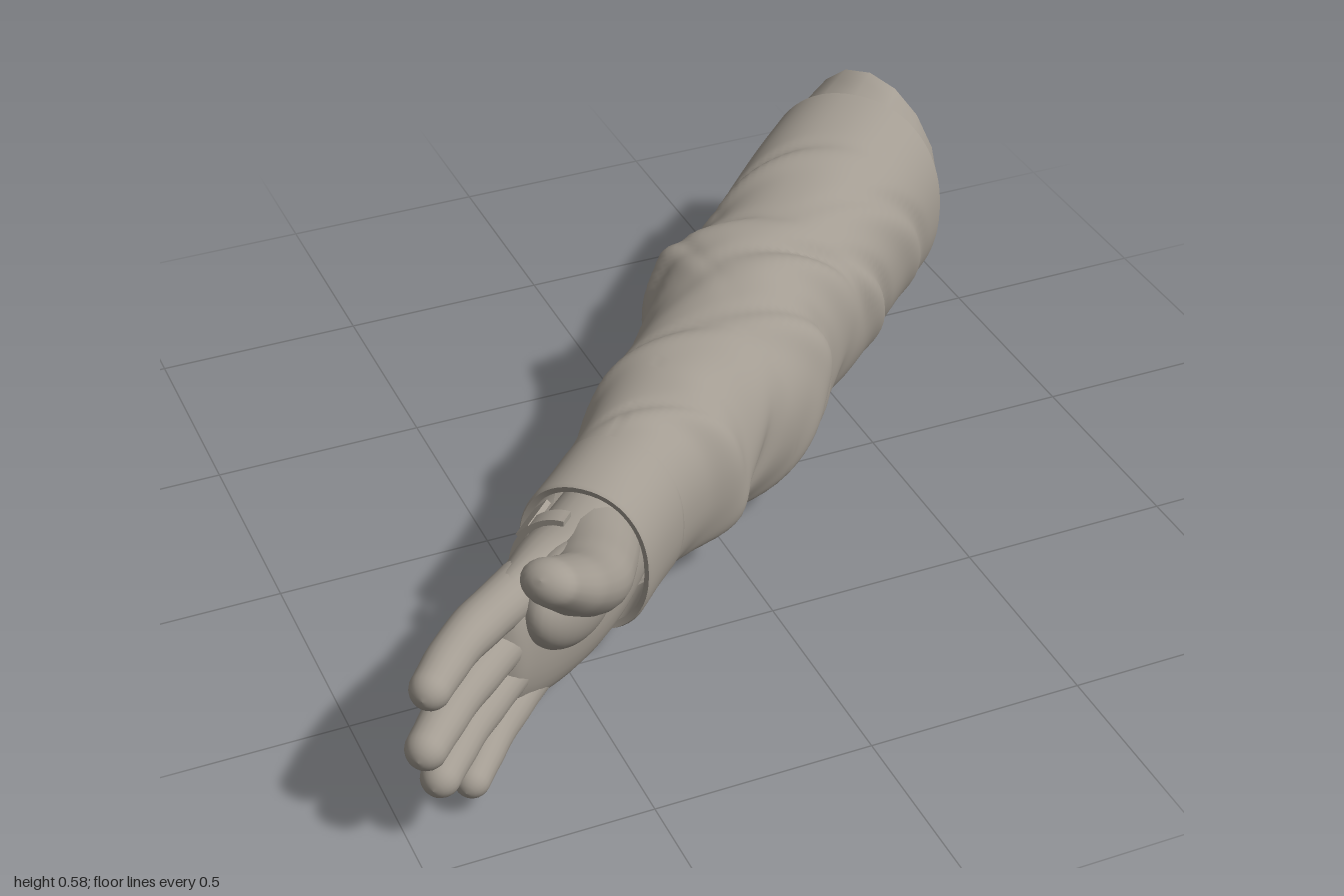
import * as THREE from 'three';
import { toCreasedNormals } from 'three/addons/utils/BufferGeometryUtils.js';

const cloth = new THREE.MeshStandardMaterial({ color: 0xa39c92, side: THREE.DoubleSide });
cloth.name = 'warm grey';

// Local frame: x runs from fingers to shoulder, y up, z toward the palm side.
// Columns: x, top y, bottom y, back z, front z
const SLEEVE = table([
  [-0.65, 0.455, 0.075, -0.134, 0.177], [-0.47, 0.455, 0.07, -0.127, 0.175],
  [-0.33, 0.455, 0.05, -0.14, 0.19], [-0.24, 0.465, 0.04, -0.155, 0.235],
  [-0.17, 0.475, 0.035, -0.163, 0.222], [0, 0.49, 0.03, -0.16, 0.28],
  [0.16, 0.515, 0.025, -0.165, 0.295], [0.23, 0.525, 0.02, -0.195, 0.28],
  [0.32, 0.53, 0.02, -0.21, 0.27], [0.45, 0.535, 0.02, -0.17, 0.29],
  [0.67, 0.555, 0.015, -0.177, 0.295], [0.85, 0.57, 0.01, -0.177, 0.3],
  [1.01, 0.575, 0.002, -0.175, 0.304],
]);
const PALM = table([
  [-1.04, 0.3, 0.22, -0.035, 0], [-1.02, 0.4, 0.15, -0.058, 0.028],
  [-0.97, 0.428, 0.1, -0.07, 0.05], [-0.9, 0.432, 0.08, -0.08, 0.08],
  [-0.8, 0.425, 0.082, -0.095, 0.12], [-0.7, 0.405, 0.095, -0.1, 0.138],
  [-0.5, 0.4, 0.11, -0.09, 0.13],
]);

// Cloth folds: x, angle (0 up, +PI/2 front), slant, width, angular reach, height
const FOLDS = [
  [0.13, 0.9, 0.13, 0.05, 0.8, 0.017], [0.33, 0.8, 0.12, 0.05, 0.8, 0.02],
  [0.52, 1.5, 0.16, 0.045, 0.7, 0.016], [0.74, 1.3, 0.22, 0.05, 0.8, 0.013],
  [-0.2, 1.8, -0.16, 0.05, 0.8, 0.014], [0.02, 2.1, -0.2, 0.05, 0.8, 0.014],
  [0.24, 2.4, -0.14, 0.045, 0.7, 0.012], [0.28, -0.9, 0.16, 0.05, 0.9, 0.017],
  [0.42, -1.5, -0.15, 0.045, 0.8, 0.016], [0.6, -0.6, 0.2, 0.045, 0.8, 0.013],
  [0.08, -1.4, 0.2, 0.045, 0.7, 0.012], [-0.15, -0.7, 0.16, 0.04, 0.8, 0.01],
  [0.72, -1.9, -0.2, 0.05, 0.8, 0.012], [0.3, -2.5, 0.16, 0.05, 0.7, 0.012],
  [-0.32, 0.3, 0.12, 0.035, 0.9, 0.008],
];

function table(rows) {
  return new THREE.CubicInterpolant(rows.map(r => r[0]), rows.flatMap(r => r.slice(1)), 4);
}

function foldHeight(x, a) {
  let h = 0;
  for (const [fx, fa, slant, w, reach, amp] of FOLDS) {
    const da = Math.atan2(Math.sin(a - fa), Math.cos(a - fa));
    const d = (x - fx - slant * da + 0.06 * da * da) / w;
    const g = Math.exp(-d * d) - 0.85 * Math.exp(-(((d - 1.4) / 0.55) ** 2));
    h += amp * g * Math.exp(-((da / reach) ** 2));
  }
  return h * THREE.MathUtils.smoothstep(x, -0.45, -0.35) * (1 - THREE.MathUtils.smoothstep(x, 0.85, 1));
}

// Oval cross-section point from a section table
function oval(sections, x, a, scale = 1, bulge = 0) {
  const [top, bottom, back, front] = sections.evaluate(x);
  const c = Math.cos(a), s = Math.sin(a), p = 0.92;
  const round = v => Math.sign(v) * Math.abs(v) ** p;
  return new THREE.Vector3(x,
    (top + bottom) / 2 + round(c) * ((top - bottom) / 2 * scale + bulge),
    (front + back) / 2 + round(s) * ((front - back) / 2 * scale + bulge));
}

// Skin of closed rings; point(i, angle) gives each corner
function loft(rings, sides, point) {
  const pos = [], index = [];
  for (let i = 0; i < rings; i++) for (let j = 0; j < sides; j++) {
    pos.push(...point(i, j / sides * Math.PI * 2).toArray());
    if (i === rings - 1) continue;
    const k = (j + 1) % sides, a = i * sides + j, b = i * sides + k;
    index.push(a, b, a + sides, b, b + sides, a + sides);
  }
  const geo = new THREE.BufferGeometry();
  geo.setAttribute('position', new THREE.Float32BufferAttribute(pos, 3));
  geo.setIndex(index);
  geo.computeVertexNormals();
  return geo;
}

// Rounded finger along a few points, radius changing from r0 to r1, sideways depth scaled
function digit(points, r0, r1, knuckle, depth = 1) {
  const curve = new THREE.CatmullRomCurve3(points.map(p => new THREE.Vector3(...p)));
  const length = curve.getLength(), rings = 30;
  return loft(rings, 20, (i, a) => {
    const u = 1 - (1 - i / (rings - 1)) ** 1.6;
    const T = curve.getTangentAt(u);
    const B = T.clone().cross(new THREE.Vector3(0, 1, 0)).normalize();
    const N = B.clone().cross(T);
    let r = THREE.MathUtils.lerp(r0, r1, u);
    r += knuckle * (Math.exp(-(((u - 0.42) / 0.09) ** 2)) + 0.7 * Math.exp(-(((u - 0.72) / 0.07) ** 2)));
    const end = Math.min(1, (1 - u) * length / r1);
    r *= Math.sqrt(Math.max(0, 1 - (1 - end) ** 2));
    const side = THREE.MathUtils.lerp(1, depth, u);
    return curve.getPointAt(u).addScaledVector(N, r * Math.cos(a)).addScaledVector(B, r * side * Math.sin(a));
  });
}

export function createModel() {
  const model = new THREE.Group();
  model.name = 'sleevedArm';
  const arm = new THREE.Group();
  arm.name = 'arm';
  arm.rotation.y = Math.PI / 4;
  model.add(arm);
  const add = (name, geo) => {
    const mesh = new THREE.Mesh(geo, cloth);
    mesh.name = name;
    arm.add(mesh);
    return mesh;
  };

  // Wrinkled sleeve with a turned-in hem
  const rings = 130;
  add('sleeve', toCreasedNormals(loft(rings + 1, 72, (i, a) => {
    if (i === rings) return oval(SLEEVE, 1.005, a, 0.96);
    const x = -0.46 + 1.465 * i / (rings - 1);
    return oval(SLEEVE, x, a, 1, foldHeight(x, a));
  }), 0.9));

  // Lining reaching past the hem to a slanted rim
  add('sleeveLining', loft(12, 16, (i, a) => {
    if (i < 8) return oval(SLEEVE, 0.3 + 0.65 * i / 7, a, 0.86 + 0.1 * i / 7);
    const c = Math.cos(a), s = Math.sin(a);
    const rim = new THREE.Vector3(1.183 - 0.06 * c - 0.068 * s, 0.31 + 0.27 * c, 0.065 + 0.197 * s);
    return oval(SLEEVE, 0.95, a, 0.96).lerp(rim, (i - 7) / 4);
  }));

  // Cuff band, hollow at the wrist
  const cuff = [[-0.52, 0.86], [-0.643, 0.9], [-0.648, 0.98], [-0.64, 1.005], [-0.55, 1.01], [-0.46, 1.015], [-0.45, 1.01], [-0.445, 0.98]];
  add('cuff', toCreasedNormals(loft(cuff.length, 56, (i, a) => oval(SLEEVE, cuff[i][0], a, cuff[i][1])), 0.7));

  // Wrist strap round the back of the hand
  const band = new THREE.Shape();
  band.absellipse(0, 0, 0.13, 0.168, -1.45, 1.6, false);
  band.absellipse(0, 0, 0.116, 0.154, 1.6, -1.45, true);
  const strapGeo = new THREE.ExtrudeGeometry(band, { depth: 0.04, bevelEnabled: false, curveSegments: 20 });
  strapGeo.rotateY(Math.PI / 2);
  add('wristStrap', toCreasedNormals(strapGeo, 0.6)).position.set(-0.735, 0.256, 0.012);

  // Buckle frame on the strap
  const corners = (w, h) => [[-w, -h], [w, -h], [w, h], [-w, h]].map(p => new THREE.Vector2(...p));
  const frame = new THREE.Shape(corners(0.03, 0.036));
  frame.holes.push(new THREE.Path(corners(0.02, 0.024).reverse()));
  add('buckle', new THREE.ExtrudeGeometry(frame, { depth: 0.014, bevelEnabled: false })).position.set(-0.714, 0.19, -0.12);

  // Tabs joining the strap to the cuff
  for (const side of [1, -1]) {
    const tab = add('strapTab', new THREE.BoxGeometry(0.1, 0.045, 0.012));
    tab.position.set(-0.685, 0.256 + side * 0.116, -0.078);
    tab.rotation.x = side * 0.75;
  }

  // Palm and wrist
  add('palm', loft(40, 32, (i, a) => oval(PALM, -1.04 + 0.54 * (i / 39) ** 1.3, a)));

  // Fingers: root, middle, tip, root radius, tip radius
  const fingers = {
    indexFinger: [[-0.9, 0.368, -0.008], [-1.15, 0.398, -0.028], [-1.355, 0.406, -0.016], 0.058, 0.042],
    middleFinger: [[-0.9, 0.285, -0.008], [-1.17, 0.278, -0.028], [-1.385, 0.272, -0.018], 0.058, 0.043],
    ringFinger: [[-0.9, 0.205, -0.006], [-1.14, 0.178, -0.024], [-1.34, 0.162, -0.012], 0.056, 0.041],
    littleFinger: [[-0.83, 0.145, 0.005], [-1.04, 0.1, -0.01], [-1.23, 0.07, 0.005], 0.056, 0.037],
  };
  for (const [name, [root, mid, tip, r0, r1]] of Object.entries(fingers)) add(name, digit([root, mid, tip], r0, r1, 0.002));

  // Thumb swelling out of the wrist, with the pad at its base
  add('thumb', digit([[-0.6, 0.29, 0.03], [-0.74, 0.335, 0.085], [-0.85, 0.38, 0.118], [-0.95, 0.445, 0.13], [-1.085, 0.55, 0.122]], 0.1, 0.046, 0.003, 1.3));
  const pad = add('thumbPad', new THREE.SphereGeometry(1, 32, 24));
  pad.scale.set(0.18, 0.115, 0.08);
  pad.position.set(-0.82, 0.31, 0.062);
  pad.rotation.z = -0.35;

  return model;
}
